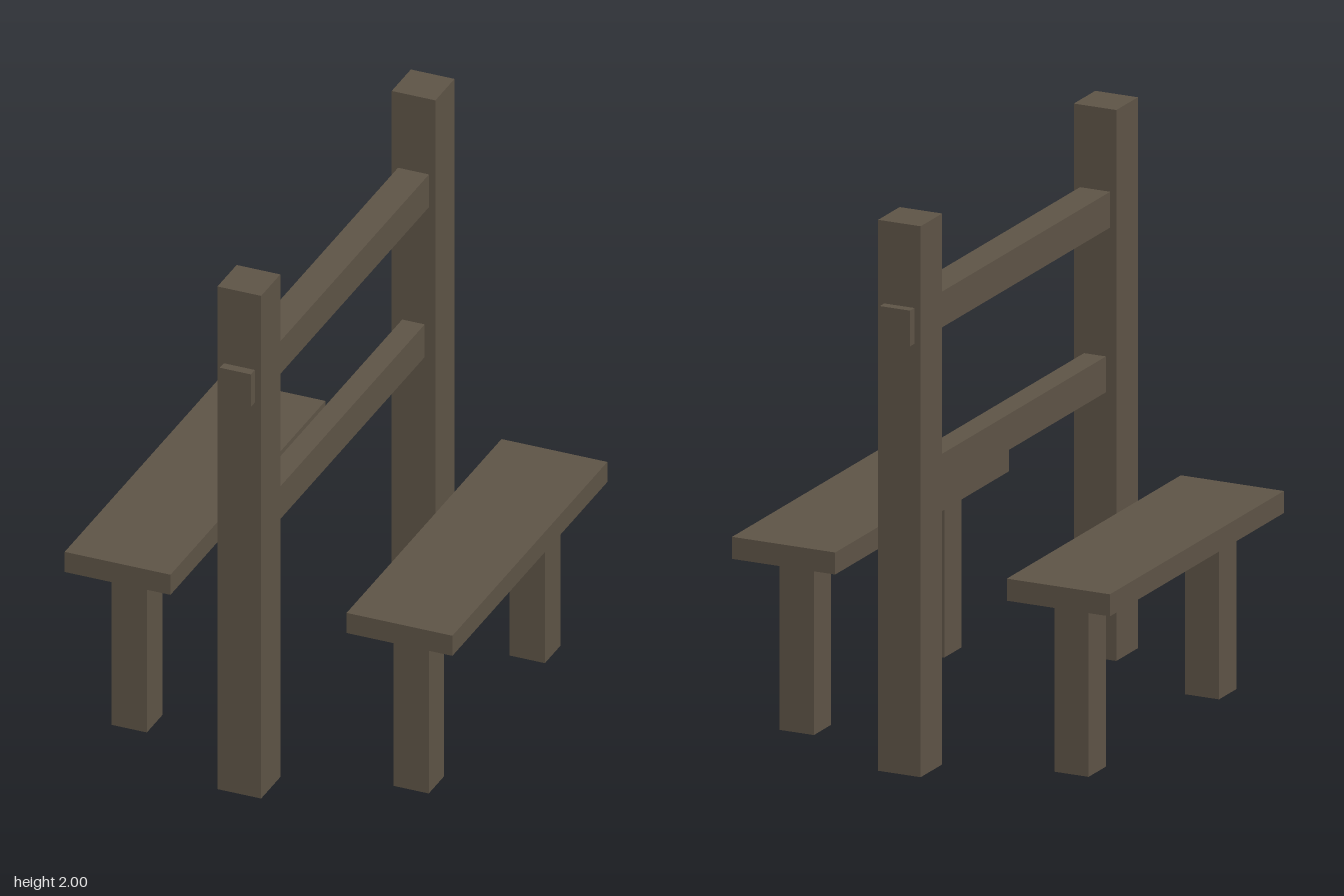
import * as THREE from 'three';

export function createModel() {
  const model = new THREE.Group();
  model.name = 'stile';
  const darkWood = new THREE.MeshStandardMaterial({ color: 0x5f5547 });
  darkWood.name = 'darkWood';

  // Timber of width w, height h and depth d, with its underside at height y
  function timber(name, parent, w, h, d, x, y, z) {
    const mesh = new THREE.Mesh(new THREE.BoxGeometry(w, h, d), darkWood);
    mesh.name = name;
    mesh.position.set(x, y + h / 2, z);
    parent.add(mesh);
  }

  // Tall posts at front and back
  for (const end of [1, -1]) {
    timber(end > 0 ? 'frontPost' : 'backPost', model, 0.165, 2, 0.165, 0, 0, end * 0.75);
  }

  // Upper rail runs through both posts, lower rail sits between them
  timber('upperRail', model, 0.117, 0.13, 1.734, 0, 1.57, 0);
  timber('lowerRail', model, 0.085, 0.13, 1.334, 0, 0.97, 0);

  // A bench on each side: plank and two legs
  for (const side of [1, -1]) {
    const bench = new THREE.Group();
    bench.name = side > 0 ? 'leftBench' : 'rightBench';
    bench.position.x = side * 0.533;
    timber('seat', bench, 0.4, 0.08, 1.334, 0, 0.63, 0);
    for (const end of [1, -1]) {
      timber(end > 0 ? 'frontLeg' : 'backLeg', bench, 0.133, 0.63, 0.133, 0, 0, end * 0.5);
    }
    model.add(bench);
  }
  return model;
}
